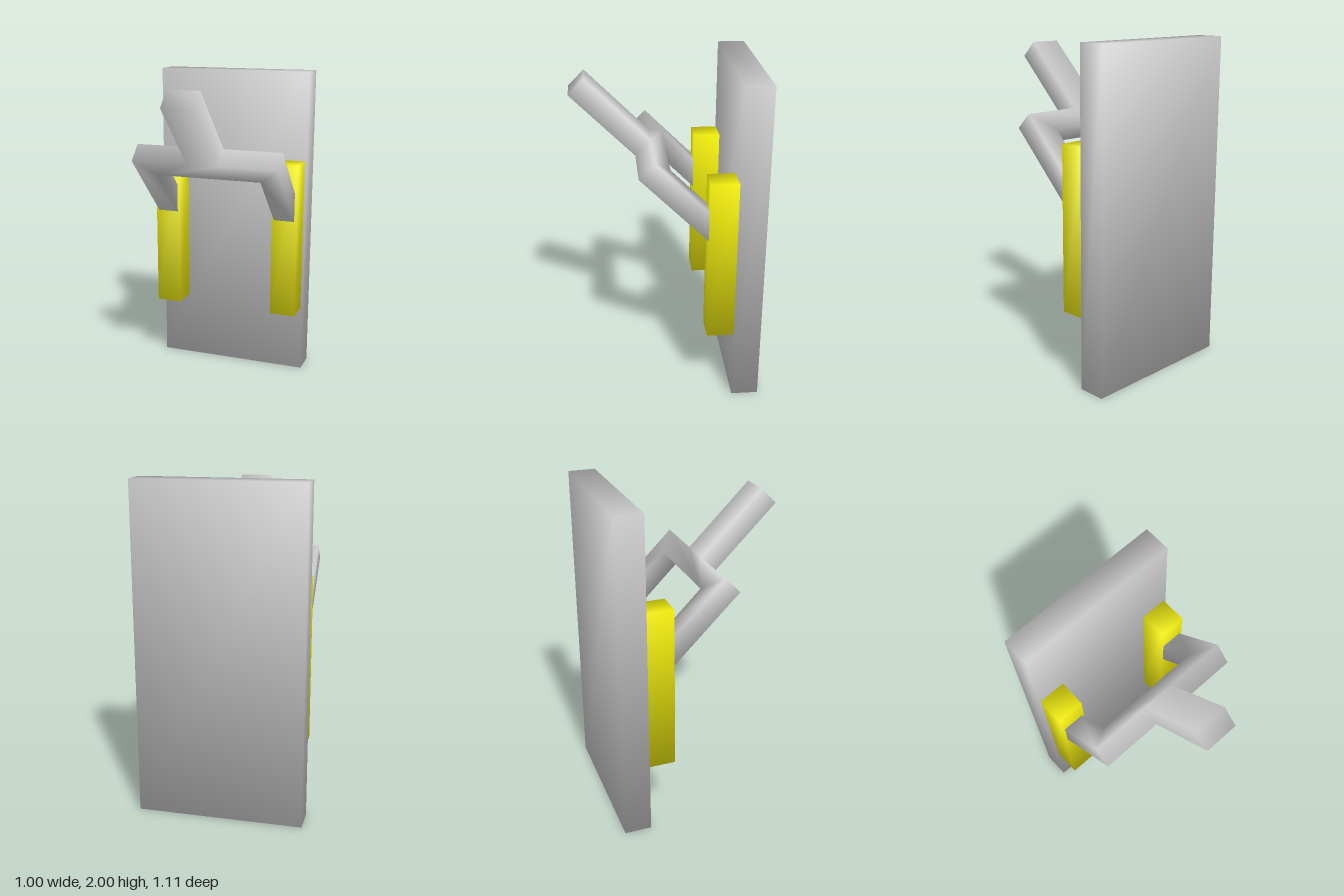
import * as THREE from 'three';

const GREY = 0xcccccc;
const YELLOW = 0xf2ee0c;

// Soft shading across hard corners: each corner normal is the mean of the distinct face normals there
function softNormals(source) {
  const geo = source.index ? source.toNonIndexed() : source;
  geo.computeVertexNormals();
  const pos = geo.attributes.position, nor = geo.attributes.normal;
  const corners = new Map();
  const key = (i) => [pos.getX(i), pos.getY(i), pos.getZ(i)].map((v) => Math.round(v * 1e4)).join();
  for (let i = 0; i < pos.count; i++) {
    const n = new THREE.Vector3().fromBufferAttribute(nor, i);
    const list = corners.get(key(i)) ?? [];
    if (!list.some((m) => m.dot(n) > 0.999)) list.push(n);
    corners.set(key(i), list);
  }
  for (let i = 0; i < pos.count; i++) {
    const sum = new THREE.Vector3();
    corners.get(key(i)).forEach((n) => sum.add(n));
    sum.normalize();
    nor.setXYZ(i, sum.x, sum.y, sum.z);
  }
  return geo;
}

function makePart(name, geometry, color) {
  const mesh = new THREE.Mesh(softNormals(geometry), new THREE.MeshStandardMaterial({ color }));
  mesh.name = name;
  return mesh;
}

// Forked lever, drawn flat and then tilted 45 degrees
function leverGeometry() {
  const legOut = 0.467, legIn = 0.333, stem = 0.1;
  const end = 0.6, barIn = 1.032, barOut = 1.167, tip = 1.704;
  const half = [[stem, tip], [stem, barOut], [legOut, barOut], [legOut, end], [legIn, end], [legIn, barIn]];
  const mirrored = half.map(([x, y]) => [-x, y]).reverse();
  const shape = new THREE.Shape([...half, ...mirrored].map(([x, y]) => new THREE.Vector2(x, y)));
  const geo = new THREE.ExtrudeGeometry(shape, { depth: 0.131, bevelEnabled: false });
  geo.translate(0, 0, -1.05);
  // Remember the leg ends, tilt, then slide them along the legs to the block faces
  const pos = geo.attributes.position;
  const isEnd = Array.from({ length: pos.count }, (_, i) => pos.getY(i) < 0.7);
  geo.rotateX(Math.PI / 4);
  const faceZ = -0.225;
  isEnd.forEach((atEnd, i) => {
    if (!atEnd) return;
    pos.setY(i, pos.getY(i) - pos.getZ(i) + faceZ);
    pos.setZ(i, faceZ);
  });
  return geo;
}

export function createModel() {
  const model = new THREE.Group();
  model.name = 'wallLever';

  // Back plate
  const plate = makePart('backPlate', new THREE.BoxGeometry(1, 2, 0.165), GREY);
  plate.position.set(0, 1, -0.4725);
  model.add(plate);

  // Mounting blocks
  for (const [name, side] of [['leftBlock', 1], ['rightBlock', -1]]) {
    const block = makePart(name, new THREE.BoxGeometry(0.165, 1, 0.165), YELLOW);
    block.position.set(side * 0.402, 0.936, -0.3075);
    model.add(block);
  }

  model.add(makePart('lever', leverGeometry(), GREY));
  return model;
}
